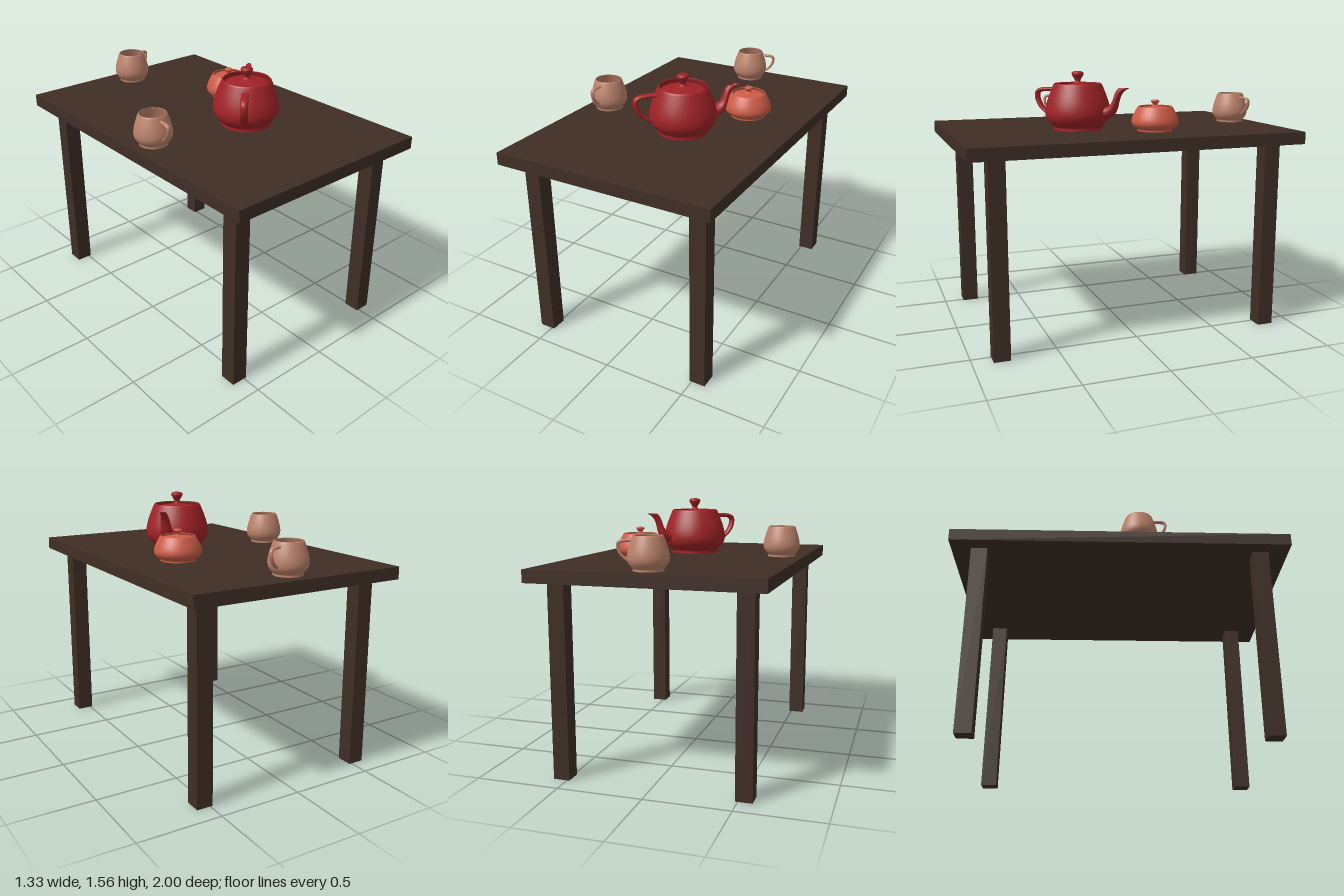
import * as THREE from 'three';

const mat = (name, color) => {
  const m = new THREE.MeshStandardMaterial({ color, side: THREE.DoubleSide });
  m.name = name;
  return m;
};

const TABLE_TOP = 1.215;

// Samples a chain of cubic curves, each given as eight numbers (four x, y points)
function samples(segments, n) {
  const points = [];
  segments.forEach((s, k) => {
    const p = [0, 2, 4, 6].map((i) => new THREE.Vector2(s[i], s[i + 1]));
    points.push(...new THREE.CubicBezierCurve(...p).getPoints(n).slice(k ? 1 : 0));
  });
  return points;
}

// Tube of elliptical rings spanning two side curves, with half widths along z
function sweep(sideA, sideB, widths, n = 12, around = 20) {
  const a = samples(sideA, n), b = samples(sideB, n);
  const pos = [], index = [];
  a.forEach((p, i) => {
    const q = b[i], k = Math.min(Math.floor(i / n), widths.length - 2);
    const w = THREE.MathUtils.lerp(widths[k], widths[k + 1], i / n - k);
    for (let j = 0; j < around; j++) {
      const t = (j / around) * Math.PI * 2, c = Math.cos(t) / 2;
      pos.push((p.x + q.x) / 2 + (p.x - q.x) * c, (p.y + q.y) / 2 + (p.y - q.y) * c, w * Math.sin(t));
      if (i < a.length - 1) {
        const j2 = (j + 1) % around, r = i * around, s = r + around;
        index.push(r + j, r + j2, s + j, r + j2, s + j2, s + j);
      }
    }
  });
  const g = new THREE.BufferGeometry();
  g.setAttribute('position', new THREE.Float32BufferAttribute(pos, 3));
  g.setIndex(index);
  g.computeVertexNormals();
  return g;
}

// Shared pottery shapes, in units where the belly radius is 2
const bodyGeometry = new THREE.LatheGeometry(samples([
  [1.5, 0, 1.5, 0.05, 1.5, 0.1, 1.5, 0.15],
  [1.5, 0.15, 1.5, 0.225, 2, 0.45, 2, 0.9],
  [2, 0.9, 2, 1.35, 1.75, 1.875, 1.5, 2.4],
  [1.5, 2.4, 1.4375, 2.53, 1.3375, 2.53, 1.4, 2.4],
], 10), 48);

const lidGeometry = new THREE.LatheGeometry(samples([
  [1.3, 2.25, 1.3, 2.4, 0.4, 2.4, 0.2, 2.55],
  [0.2, 2.55, 0, 2.7, 0.8, 3.15, 0, 3.15],
], 14), 48);

const handleGeometry = sweep(
  [[-1.6, 2.025, -2.3, 2.025, -2.7, 2.025, -2.7, 1.8], [-2.7, 1.8, -2.7, 1.575, -2.5, 1.125, -2, 0.9]],
  [[-1.5, 2.25, -2.5, 2.25, -3, 2.25, -3, 1.8], [-3, 1.8, -3, 1.35, -2.65, 0.94, -1.9, 0.6]],
  [0.225, 0.225, 0.225]);

const spoutGeometry = sweep(
  [[1.7, 1.275, 2.6, 1.275, 2.3, 1.95, 2.7, 2.25], [2.7, 2.25, 2.8, 2.325, 2.9, 2.325, 2.8, 2.25]],
  [[1.7, 0.6, 3.1, 0.675, 2.4, 1.875, 3.3, 2.25], [3.3, 2.25, 3.525, 2.344, 3.45, 2.3625, 3.2, 2.25]],
  [0.495, 0.19, 0.11]);

// A pottery piece standing on the table, turned by an angle in degrees
function vessel(name, material, parts, x, z, radius, scaleY, angle) {
  const g = new THREE.Group();
  g.name = name;
  for (const [part, geometry] of Object.entries(parts)) {
    const m = new THREE.Mesh(geometry, material);
    m.name = name + part;
    g.add(m);
  }
  g.position.set(x, TABLE_TOP, z);
  g.scale.set(radius / 2, scaleY, radius / 2);
  g.rotation.y = THREE.MathUtils.degToRad(angle);
  return g;
}

export function createModel() {
  const wood = mat('dark wood', 0x3f2e25);
  const red = mat('red glaze', 0xa02226);
  const coral = mat('coral glaze', 0xcc5c46);
  const clay = mat('pale clay', 0xba816a);

  const model = new THREE.Group();
  model.name = 'teaTable';

  // Table
  const box = (name, w, h, d, x, y, z) => {
    const m = new THREE.Mesh(new THREE.BoxGeometry(w, h, d), wood);
    m.name = name;
    m.position.set(x, y, z);
    model.add(m);
  };
  box('tableTop', 1.333, 0.073, 2, 0, TABLE_TOP - 0.0365, 0);
  for (const sx of [-1, 1])
    for (const sz of [-1, 1])
      box('tableLeg', 0.097, 1.142, 0.097, sx * 0.533, 0.571, sz * 0.833);

  // Teapot, sugar bowl and two open cups
  const Body = bodyGeometry, Lid = lidGeometry, Handle = handleGeometry, Spout = spoutGeometry;
  model.add(
    vessel('teapot', red, { Body, Lid, Handle, Spout }, 0.076, 0.226, 0.198, 0.111, 45),
    vessel('sugarBowl', coral, { Body, Lid }, 0.3, -0.187, 0.141, 0.0585, 0),
    vessel('cup', clay, { Body, Handle }, -0.524, 0.114, 0.112, 0.0745, 86),
    vessel('cup', clay, { Body, Handle }, 0, -0.853, 0.112, 0.0745, 198),
  );
  return model;
}
